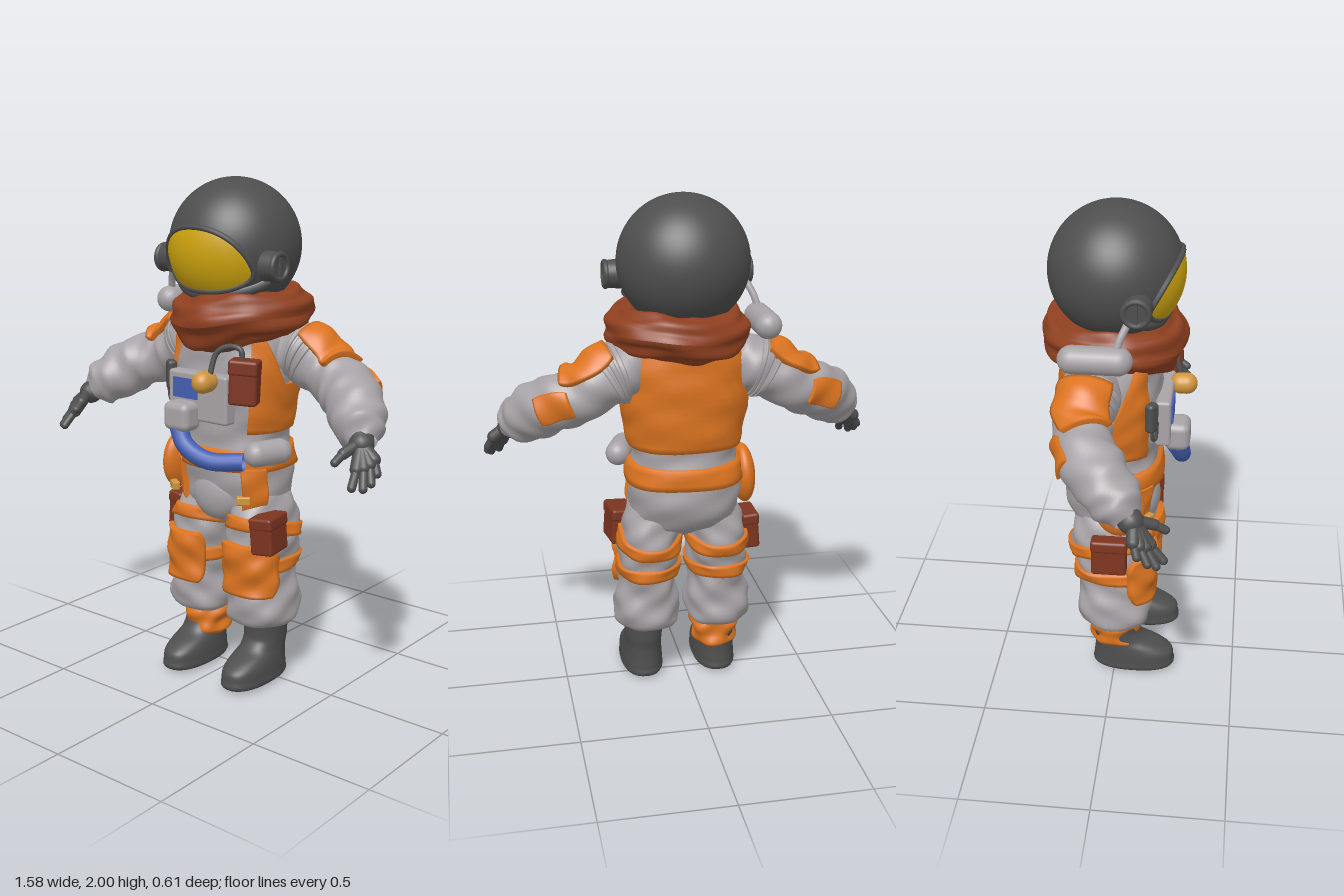
import * as THREE from 'three';
import { RoundedBoxGeometry } from 'three/addons/geometries/RoundedBoxGeometry.js';

const V = (x, y, z) => new THREE.Vector3(x, y, z);
const { sin, cos, exp, abs, sign, PI, sqrt, min, max, floor } = Math;
const bell = (d, w) => exp(-(d * d) / (w * w));

const mat = (name, color) => {
  const m = new THREE.MeshStandardMaterial({ color, side: THREE.DoubleSide });
  m.name = name;
  return m;
};

export function createModel() {
  const root = new THREE.Group();
  root.name = 'astronaut';
  const grey = mat('suit grey', 0xa8a3a6), dark = mat('charcoal', 0x4e4e4e), orange = mat('orange', 0xdc7420);
  const rust = mat('scarf rust', 0x8f4020), brown = mat('pouch brown', 0x7c3420), gold = mat('visor gold', 0xd0a60f);
  const brass = mat('brass', 0xd0953c), blue = mat('blue', 0x4460b4);

  const add = (name, geo, material, pos, rot) => {
    const m = new THREE.Mesh(geo, material);
    m.name = name;
    if (pos) m.position.set(...pos);
    if (rot) m.rotation.set(...rot);
    root.add(m);
    return m;
  };

  // grid surface from f(u, v, rim), optionally closed around u
  const surf = (f, nu, nv, closed) => {
    const pos = [], idx = [], cols = closed ? nu : nu + 1;
    for (let j = 0; j <= nv; j++) for (let i = 0; i < cols; i++) {
      const rim = j === 0 || j === nv || (!closed && (i === 0 || i === nu));
      pos.push(...f(i / nu, j / nv, rim).toArray());
    }
    for (let j = 0; j < nv; j++) for (let i = 0; i < nu; i++) {
      const a = j * cols + i, b = j * cols + (i + 1) % cols;
      idx.push(a, b, a + cols, b, b + cols, a + cols);
    }
    const g = new THREE.BufferGeometry();
    g.setAttribute('position', new THREE.Float32BufferAttribute(pos, 3));
    g.setIndex(idx);
    g.computeVertexNormals();
    return g;
  };

  // stacked oval sections [y, cx, cz, rx, rz]; angle 0 faces front
  const body = (secs, s = 1, shift = 0, wrinkle = 0) => (a, y, off = 0) => {
    let k = 0;
    while (k < secs.length - 2 && y > secs[k + 1][0]) k++;
    const at = i => secs[max(0, min(secs.length - 1, i))];
    const t = (y - secs[k][0]) / (secs[k + 1][0] - secs[k][0]);
    const c = i => {
      const [p, q, r, w] = [at(k - 1)[i], at(k)[i], at(k + 1)[i], at(k + 2)[i]];
      return q + 0.5 * t * (r - p + t * (2 * p - 5 * q + 4 * r - w + t * (3 * (q - r) + w - p)));
    };
    const o = off + wrinkle * (sin(3 * a + 38 * y) + sin(5 * a - 55 * y + 1));
    const se = v => sign(v) * abs(v) ** 0.85;
    return V(s * (c(1) + (c(3) + o) * se(sin(a))) + shift, y, c(2) + (c(4) + o) * se(cos(a)));
  };
  const whole = (f, y0, y1, nv) => surf((u, v) => f(u * 2 * PI, y0 + v * (y1 - y0)), 48, nv, true);
  const val = (q, a) => typeof q === 'function' ? q(a) : q;

  // padded plate lying on a surface, walls at its rim
  const patch = (f, a0, a1, y0, y1, off, round = 0) => {
    const n = 22, ease = q => max(0, min(1, (q * n - 1) / (n - 2)));
    return surf((u, v, rim) => {
      const U = ease(u), W = ease(v);
      const k = 1 - round * abs(2 * W - 1) ** 4;
      const a = (a0 + a1) / 2 + (U - 0.5) * (a1 - a0) * k;
      return f(a, val(y0, a) + W * (val(y1, a) - val(y0, a)), rim ? -0.008 : off);
    }, n, n, false);
  };
  const band = (f, y0, y1, off) => surf((u, v, rim) => {
    const a = u * 2 * PI, W = max(0, min(1, (v * 6 - 1) / 4));
    return f(a, val(y0, a) + W * (val(y1, a) - val(y0, a)), rim ? -0.008 : off);
  }, 48, 6, true);

  const capsule = (name, a, b, r, material) => {
    const d = b.clone().sub(a);
    const m = add(name, new THREE.CapsuleGeometry(r, d.length(), 8, 18), material);
    m.position.copy(a).addScaledVector(d, 0.5);
    m.quaternion.setFromUnitVectors(V(0, 1, 0), d.normalize());
  };
  const tube = (name, pts, r, material) =>
    add(name, new THREE.TubeGeometry(new THREE.CatmullRomCurve3(pts.map(p => V(...p))), 32, r, 14), material);
  const box = (name, w, h, d, material, pos, rot, r = 0.012) =>
    add(name, new RoundedBoxGeometry(w, h, d, 3, r), material, pos, rot);

  // torso
  const torso = body([
    [0.64, 0, 0, 0.07, 0.07], [0.7, 0, -0.02, 0.19, 0.15], [0.8, 0, -0.03, 0.222, 0.185], [0.92, 0, -0.022, 0.218, 0.19],
    [1, 0, -0.02, 0.205, 0.178], [1.1, 0, -0.02, 0.222, 0.188], [1.25, 0, -0.02, 0.243, 0.195],
    [1.4, 0, -0.025, 0.235, 0.185], [1.5, 0, -0.03, 0.18, 0.155], [1.56, 0, -0.03, 0.12, 0.11],
  ], 1, 0.008, 0.0025);
  add('torso', whole(torso, 0.64, 1.56, 60), grey);
  const vestTop = a => 1.48 - 0.27 * bell(min(a, 2 * PI - a) - 1.6, 0.45);
  add('vest', patch(torso, 0.78, 2 * PI - 0.78, 1.035, vestTop, 0.016), orange);
  add('belt', band(torso, 0.885, 0.968, 0.016), orange);
  for (const s of [-1, 1]) add('hipPanel', patch(torso, s * 0.62, s * 1.15, 0.7, 0.9, 0.02), orange);
  add('crotchPanel', new THREE.SphereGeometry(1, 32, 20), grey, [0.005, 0.77, 0.1]).scale.set(0.115, 0.11, 0.07);

  for (const s of [-1, 1]) {
    // trouser leg with knee pad and straps
    const leg = body([
      [0.235, 0.148, 0, 0.07, 0.08], [0.25, 0.148, 0, 0.122, 0.135], [0.3, 0.15, 0, 0.134, 0.152], [0.36, 0.148, 0, 0.13, 0.148],
      [0.42, 0.145, 0, 0.113, 0.147], [0.5, 0.143, 0, 0.116, 0.152], [0.6, 0.14, -0.01, 0.122, 0.162],
      [0.7, 0.13, -0.015, 0.112, 0.155], [0.78, 0.12, -0.02, 0.09, 0.125], [0.85, 0.1, -0.02, 0.06, 0.08],
    ], s, 0.012, 0.004);
    add('trouserLeg', whole(leg, 0.235, 0.85, 48), grey);
    add('kneePad', patch(leg, -0.75, 1.25, 0.385, 0.595, 0.024, 0.25), orange);
    add('kneeStrap', band(leg, 0.475, 0.525, 0.012), orange);
    add('thighStrap', band(leg, a => 0.615 + 0.04 * cos(a), a => 0.665 + 0.04 * cos(a), 0.012), orange);

    // boot
    const boot = body([
      [0, 0, 0.08, 0.02, 0.05], [0.012, 0, 0.08, 0.082, 0.162], [0.05, 0, 0.08, 0.086, 0.168], [0.085, 0, 0.077, 0.084, 0.162],
      [0.115, 0, 0.055, 0.08, 0.138], [0.14, 0, 0.025, 0.076, 0.108], [0.18, 0, 0.005, 0.077, 0.094], [0.27, 0, 0.005, 0.08, 0.095],
    ], 1, s * 0.155 + 0.02);
    add('boot', whole(boot, 0, 0.27, 36), dark);

    // sleeve: angle 0 is the top, positive angles the front
    const path = new THREE.CatmullRomCurve3([V(0.17, 1.36, -0.07), V(0.28, 1.34, -0.085), V(0.41, 1.265, -0.09),
      V(0.54, 1.21, -0.035), V(0.63, 1.14, 0.05), V(0.69, 1.09, 0.105)]);
    const radii = [0.09, 0.112, 0.116, 0.108, 0.106, 0.108, 0.113, 0.11, 0.1, 0.088, 0.045];
    const sleeve = (a, t, off = 0) => {
      const q = t * (radii.length - 1), k = min(radii.length - 2, floor(q));
      const r = radii[k] + (radii[k + 1] - radii[k]) * (q - k) + off
        + 0.004 * (sin(2 * a + 30 * t) + sin(3 * a - 42 * t));
      const T = path.getTangent(t), N = V(0, 1, 0).addScaledVector(T, -T.y).normalize(), B = T.clone().cross(N);
      const p = path.getPoint(t).addScaledVector(N, r * cos(a)).addScaledVector(B, r * sin(a));
      p.x *= s;
      return p;
    };
    add('sleeve', whole(sleeve, 0, 1, 50), grey);
    for (const t of [0.17, 0.205, 0.24]) add('shoulderRib', band(sleeve, t, t + 0.024, 0.007), grey);
    add('shoulderPad', patch(sleeve, -0.95, 0.95, 0.2, 0.46, 0.022, 0.15), orange);
    add('elbowPatch', patch(sleeve, -2.05, -1.05, 0.44, 0.58, 0.014, 0.15), orange);

    // gloved hand
    const P = (x, y, z) => V(s * x, y, z);
    capsule('gloveCuff', P(0.655, 1.12, 0.08), P(0.685, 1.085, 0.115), 0.047, dark);
    const fingers = [[0.712, 1.01, 0.185, 0.725, 0.955, 0.235], [0.732, 1.015, 0.17, 0.758, 0.952, 0.212],
      [0.744, 1.025, 0.15, 0.772, 0.968, 0.182], [0.748, 1.04, 0.13, 0.772, 0.995, 0.145]];
    for (const [a, b, c, d, e, f] of fingers) {
      capsule('palm', P(0.69, 1.085, 0.125), P(a, b, c), 0.025, dark);
      capsule('finger', P(a, b, c), P(d, e, f), 0.016, dark);
    }
    capsule('thumb', P(0.68, 1.085, 0.14), P(0.66, 1.06, 0.195), 0.021, dark);
    capsule('thumbTip', P(0.66, 1.06, 0.195), P(0.652, 1.035, 0.235), 0.016, dark);

    // helmet ear knob
    const x = s * 0.255 + 0.01;
    add('earKnob', new THREE.CylinderGeometry(0.052, 0.058, 0.06, 32), dark, [x, 1.685, 0.09], [0, 0, -s * PI / 2]);
    add('earRing', new THREE.TorusGeometry(0.047, 0.011, 10, 32), dark, [x + s * 0.028, 1.685, 0.09], [0, PI / 2, 0]);
    add('earBar', new THREE.BoxGeometry(0.012, 0.075, 0.014), dark, [x + s * 0.031, 1.685, 0.09]);
    box('strapClip', 0.055, 0.035, 0.03, brass, [s * 0.178 - 0.015, 0.772, 0.135], [0, s * 0.6, 0], 0.006);
  }

  // ankle wrap on the right boot
  const wrap = body([[0.125, 0, 0, 0.07, 0.08], [0.14, 0, 0, 0.09, 0.102], [0.18, 0, 0, 0.085, 0.1], [0.22, 0, 0, 0.1, 0.105],
    [0.27, 0, 0, 0.08, 0.09]], 1, -0.125, 0.005);
  add('ankleWrap', whole(wrap, 0.125, 0.27, 20), orange);

  // helmet and visor
  const hc = V(0.005, 1.744, -0.01);
  add('helmet', new THREE.SphereGeometry(0.257, 64, 40), dark, hc.toArray());
  const onHelmet = (a, k, R) => {
    const x = 0.197 * k * sign(cos(a)) * abs(cos(a)) ** 0.9;
    const y = -0.075 + k * (sin(a) > 0 ? 0.152 : 0.085) * sin(a);
    return V(x, y, sqrt(R * R - x * x - y * y)).add(hc);
  };
  add('visor', surf((u, v) => onHelmet(u * 2 * PI, 0.002 + 0.998 * v, 0.262), 64, 12, true), gold);
  const rim = [];
  for (let i = 0; i < 48; i++) rim.push(onHelmet(i / 48 * 2 * PI, 1.02, 0.259));
  add('visorRim', new THREE.TubeGeometry(new THREE.CatmullRomCurve3(rim, true), 96, 0.011, 10, true), dark);
  const chin = [];
  for (let i = 0; i <= 12; i++) chin.push(onHelmet(PI * (1.15 + 0.7 * i / 12), 1.18, 0.25).toArray());
  tube('chinGuard', chin, 0.024, dark);

  // scarf with twisted folds, hanging lower in front
  add('scarf', surf((u, v) => {
    const a = u * 2 * PI, b = v * 2 * PI, droop = bell(min(a, 2 * PI - a), 0.8);
    const fold = 1 + 0.07 * sin(5 * b + 3 * a) + 0.06 * sin(8 * b - 2 * a + 1) + 0.03 * sin(9 * a + 2 * b);
    const R = 0.205 + 0.076 * fold * cos(b) - 0.035 * droop * max(0, -sin(b));
    const y = 1.488 - 0.035 * droop + (0.083 + 0.028 * droop) * fold * sin(b) + 0.008 * sin(3 * a);
    return V(0.032 + R * sin(a), y + 0.012 * sin(a), -0.018 + R * cos(a) * 0.99);
  }, 96, 48, true), rust);

  // chest equipment
  box('chestPanel', 0.29, 0.19, 0.06, grey, [-0.005, 1.175, 0.185]);
  add('display', new THREE.BoxGeometry(0.12, 0.078, 0.008), blue, [-0.06, 1.205, 0.218]);
  box('regulator', 0.125, 0.115, 0.1, grey, [-0.062, 1.1, 0.238], [0, 0, 0], 0.03);
  add('valve', new THREE.CapsuleGeometry(0.042, 0.025, 8, 24), brass, [0.065, 1.25, 0.25], [PI / 2, 0, 0]);
  tube('airHose', [[-0.075, 1.06, 0.245], [-0.03, 0.99, 0.255], [0.07, 0.942, 0.24], [0.2, 0.945, 0.18]], 0.036, blue);
  capsule('hipCanister', V(0.225, 0.97, 0.135), V(0.262, 0.97, 0.04), 0.05, grey);
  box('chestPouch', 0.11, 0.17, 0.075, brown, [0.207, 1.257, 0.185], [0, 0.4, -0.04]);
  box('chestPouchFlap', 0.115, 0.06, 0.08, brown, [0.208, 1.315, 0.186], [0, 0.4, -0.04]);
  tube('cord', [[0.08, 1.27, 0.24], [0.095, 1.36, 0.215], [0.13, 1.385, 0.2], [0.19, 1.38, 0.19], [0.2, 1.33, 0.19]], 0.011, dark);
  box('radio', 0.05, 0.12, 0.04, dark, [-0.195, 1.23, 0.145], [0, -0.6, 0], 0.015);
  tube('radioLoop', [[-0.205, 1.19, 0.15], [-0.2, 1.14, 0.15], [-0.18, 1.13, 0.16], [-0.175, 1.2, 0.165]], 0.007, dark);

  // hip and thigh pouches
  add('hipPouch', new THREE.SphereGeometry(1, 32, 20), orange, [-0.25, 0.855, 0.03], [0, 0, -0.06]).scale.set(0.048, 0.125, 0.1);
  box('leftThighPouch', 0.095, 0.15, 0.14, brown, [0.255, 0.65, 0.095], [0, 0.15, 0.08]);
  box('leftThighFlap', 0.1, 0.05, 0.146, brown, [0.253, 0.7, 0.095], [0, 0.15, 0.08]);
  box('rightThighPouch', 0.065, 0.15, 0.14, brown, [-0.265, 0.635, -0.01], [0, 0, -0.08]);
  box('rightThighFlap', 0.07, 0.05, 0.146, brown, [-0.263, 0.685, -0.01], [0, 0, -0.08]);

  // shoulder canister with its pipe to the helmet
  capsule('shoulderCanister', V(-0.3, 1.51, 0.03), V(-0.3, 1.51, -0.14), 0.053, grey);
  tube('shoulderPipe', [[-0.3, 1.54, 0.02], [-0.285, 1.59, 0.035], [-0.262, 1.64, 0.06], [-0.255, 1.67, 0.08]], 0.014, grey);

  return root;
}
